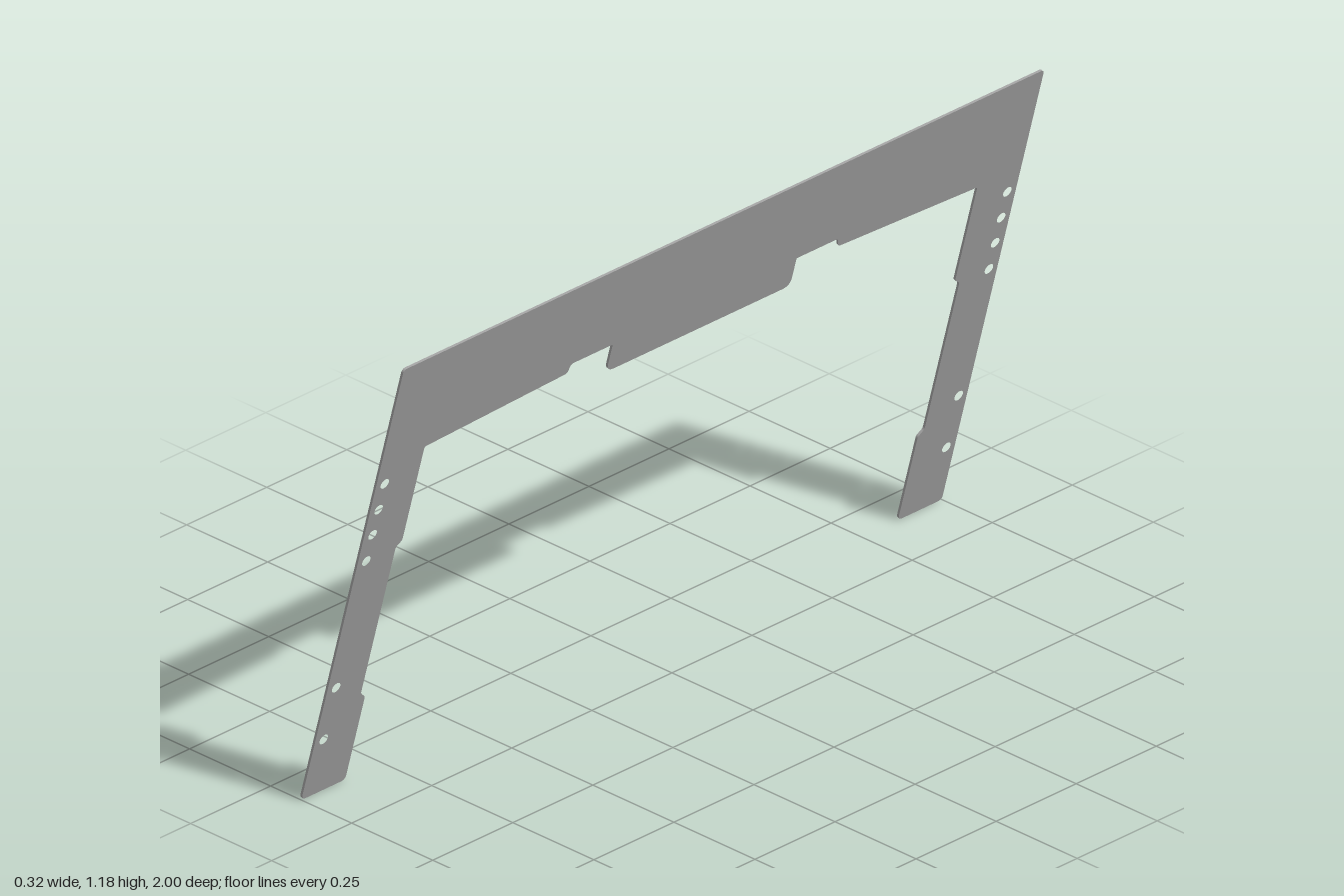
import * as THREE from 'three';

const TILT = THREE.MathUtils.degToRad(15);
const THICK = 0.006;
const SLOPE = Math.cos(TILT); // heights below are vertical, divided by this along the plate

// Closed path through [u, height, cornerRadius] points with rounded corners
function roundedShape(points) {
  const n = points.length;
  const pos = points.map(([u, y]) => new THREE.Vector2(u, y / SLOPE));
  const shape = new THREE.Shape();
  pos.forEach((p, i) => {
    const r = points[i][2];
    const toward = (q) => p.clone().add(q.clone().sub(p).setLength(r));
    const a = toward(pos[(i + n - 1) % n]);
    const b = toward(pos[(i + 1) % n]);
    if (i === 0) shape.moveTo(a.x, a.y);
    else shape.lineTo(a.x, a.y);
    shape.quadraticCurveTo(p.x, p.y, b.x, b.y);
  });
  shape.closePath();
  return shape;
}

export function createModel() {
  const group = new THREE.Group();
  const grey = new THREE.MeshStandardMaterial({ color: 0xa0a0a0 });
  grey.name = 'plain grey';

  // Half outline: top corner, leg with its recess, sloped lintel, notch, centre tab
  const half = [
    [1.0, 1.181, 0.012],
    [1.0, 0.0, 0.014],
    [0.863, 0.0, 0.014],
    [0.863, 0.228, 0.006],
    [0.88, 0.243, 0.006],
    [0.88, 0.645, 0.006],
    [0.863, 0.658, 0.006],
    [0.863, 0.914, 0.006],
    [0.423, 0.934, 0.008],
    [0.417, 0.957, 0.008],
    [0.287, 0.957, 0.004],
    [0.287, 0.882, 0.024],
  ];
  const mirrored = half.map(([u, y, r]) => [-u, y, r]).reverse();
  const shape = roundedShape([...half, ...mirrored]);

  // Fixing holes along both legs
  for (const side of [1, -1]) {
    for (const y of [0.155, 0.297, 0.645, 0.717, 0.786, 0.857]) {
      const hole = new THREE.Path();
      hole.absarc(side * 0.972, y / SLOPE, 0.013, 0, Math.PI * 2, true);
      shape.holes.push(hole);
    }
  }

  const geometry = new THREE.ExtrudeGeometry(shape, {
    depth: THICK, bevelEnabled: false, curveSegments: 8,
  });
  geometry.translate(0, -1.181 / SLOPE / 2, -THICK / 2);

  // Lay the plate across z and lean its top toward +x
  const s = Math.sin(TILT), c = Math.cos(TILT);
  geometry.applyMatrix4(new THREE.Matrix4().makeBasis(
    new THREE.Vector3(0, 0, 1),
    new THREE.Vector3(s, c, 0),
    new THREE.Vector3(-c, s, 0),
  ));
  geometry.computeBoundingBox();
  geometry.translate(0, -geometry.boundingBox.min.y, 0);

  const plate = new THREE.Mesh(geometry, grey);
  plate.name = 'framePlate';
  group.add(plate);
  return group;
}
